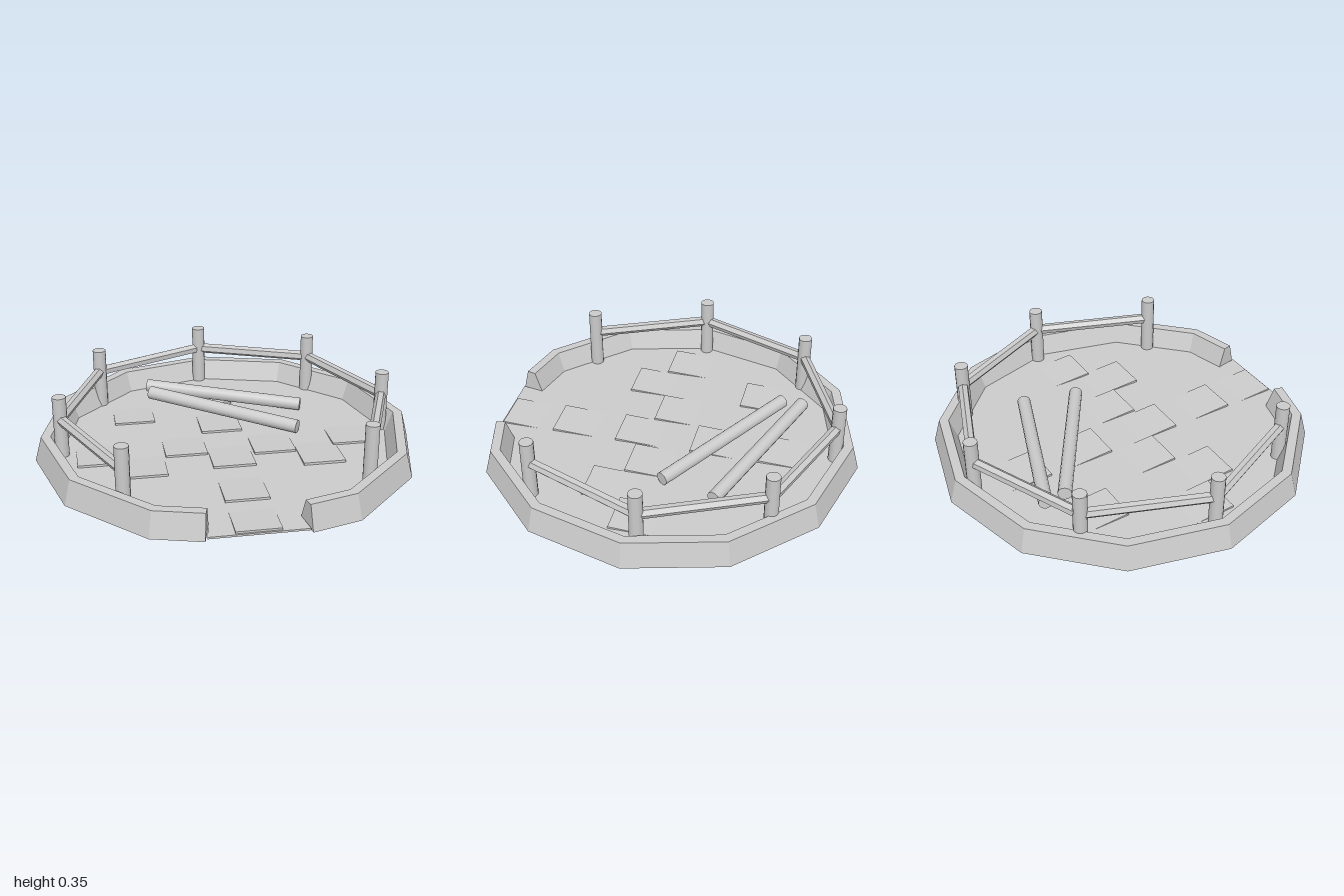
import * as THREE from 'three';

const CZ = 0.034; // centre of the twelve-sided platform
const polar = (deg, r) => {
  const a = THREE.MathUtils.degToRad(deg);
  return [r * Math.sin(a), CZ + r * Math.cos(a)];
};

// Twelve-sided rim swept from one gap edge round the back to the other
function rimGeometry() {
  const profile = [[1, 0], [0.965, 0.13], [0.915, 0.13], [0.87, 0.01]];
  const angles = [15];
  for (let a = 30; a <= 330; a += 30) angles.push(a);
  angles.push(345);
  const rows = angles.map(a => profile.map(([r, y]) => {
    const [x, z] = polar(a, a % 30 ? r * Math.cos(Math.PI / 12) : r);
    return [x, y, z];
  }));
  const pos = [];
  const quad = (a, b, c, d) => pos.push(...a, ...b, ...c, ...a, ...c, ...d);
  for (let i = 0; i < rows.length - 1; i++)
    for (let j = 0; j < profile.length - 1; j++)
      quad(rows[i][j], rows[i + 1][j], rows[i + 1][j + 1], rows[i][j + 1]);
  // caps beside the entrance
  const s = rows[0], e = rows[rows.length - 1];
  quad(s[0], s[1], s[2], s[3]);
  quad(e[3], e[2], e[1], e[0]);
  const g = new THREE.BufferGeometry();
  g.setAttribute('position', new THREE.Float32BufferAttribute(pos, 3));
  g.computeVertexNormals();
  return g;
}

export function createModel() {
  const group = new THREE.Group();
  const smooth = new THREE.MeshStandardMaterial({ color: 0xcccccc });
  const flat = new THREE.MeshStandardMaterial({ color: 0xcccccc, flatShading: true });
  const open = new THREE.MeshStandardMaterial({ color: 0xcccccc, flatShading: true, side: THREE.DoubleSide });

  const add = (name, geo, mat) => {
    const m = new THREE.Mesh(geo, mat);
    m.name = name;
    group.add(m);
    return m;
  };
  // round bar between two points
  const bar = (name, a, b, r, sides, mat) => {
    const p = new THREE.Vector3(...a), q = new THREE.Vector3(...b);
    const d = q.clone().sub(p);
    const m = add(name, new THREE.CylinderGeometry(r, r, d.length(), sides), mat);
    m.position.copy(p).add(q).multiplyScalar(0.5);
    m.quaternion.setFromUnitVectors(new THREE.Vector3(0, 1, 0), d.normalize());
    return m;
  };

  add('rim', rimGeometry(), open);

  // Floor, reaching out through the entrance
  const outline = [[-0.24, 0.964], [0.24, 0.964], polar(15, 0.86)];
  for (let a = 30; a <= 330; a += 30) outline.push(polar(a, 0.885));
  outline.push(polar(345, 0.86));
  const shape = new THREE.Shape(outline.map(([x, z]) => new THREE.Vector2(x, -z)));
  const floorGeo = new THREE.ExtrudeGeometry(shape, { depth: 0.01, bevelEnabled: false });
  floorGeo.rotateX(-Math.PI / 2);
  add('floor', floorGeo, flat).position.y = 0.012;

  // Slightly tilted paving slabs: x centre, z back, z front
  const slabs = [
    [0, -0.8, -0.45], [0, -0.43, -0.09], [0, -0.02, 0.32], [0, 0.33, 0.67], [0, 0.68, 0.955],
    [-0.455, -0.56, -0.27], [-0.225, -0.15, 0.16], [-0.455, 0.03, 0.36], [-0.68, -0.13, 0.2],
    [0.235, -0.13, 0.2], [0.46, -0.02, 0.36], [0.665, -0.15, 0.16],
  ];
  for (const [x, z0, z1] of slabs) {
    const m = add('pavingSlab', new THREE.BoxGeometry(0.22, 0.014, z1 - z0), flat);
    m.position.set(x, 0.018, (z0 + z1) / 2);
    m.rotation.x = -0.05;
  }

  // Fence posts and the rails joining them
  const posts = [
    [-0.59, 0.635], [-0.86, 0.035], [-0.62, -0.575], [-0.02, -0.84],
    [0.585, -0.605], [0.855, -0.01], [0.62, 0.605],
  ];
  posts.forEach(([x, z], i) => {
    bar('fencePost', [x, 0.004, z], [x, 0.35, z], 0.036, 12, smooth);
    if (i) {
      const [px, pz] = posts[i - 1];
      bar('fenceRail', [px, 0.225, pz], [x, 0.225, z], 0.028, 6, flat);
    }
  });

  // Loose logs lying on the floor
  bar('looseLog', [-0.35, 0.1, -0.615], [0.48, 0.06, -0.3], 0.036, 12, smooth);
  bar('looseLog', [-0.345, 0.103, -0.505], [0.4, 0.06, -0.015], 0.036, 12, smooth);

  return group;
}
